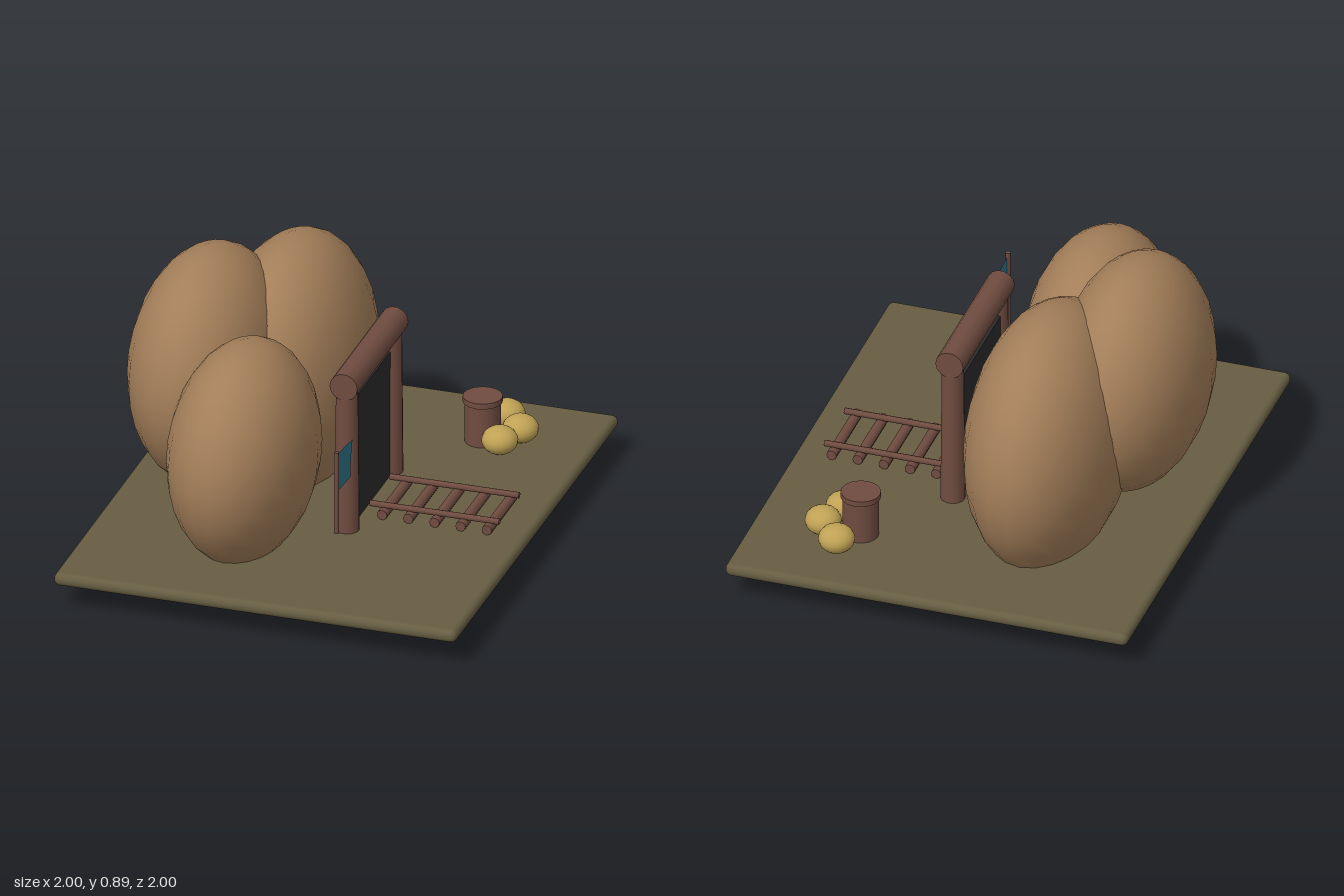
import * as THREE from 'three';
import { RoundedBoxGeometry } from 'three/addons/geometries/RoundedBoxGeometry.js';

const mat = (name, color, extra = {}) => {
  const m = new THREE.MeshStandardMaterial({ color, ...extra });
  m.name = name;
  return m;
};

export function createModel() {
  const earth = mat('earth', 0x665d42);
  const rock = mat('rock', 0xa37e59);
  const wood = mat('wood', 0x704c40);
  const dark = mat('dark opening', 0x2b2b2b);
  const cloth = mat('blue cloth', 0x2f7389, { side: THREE.DoubleSide });
  const straw = mat('straw', 0xc0a255);

  const model = new THREE.Group();
  model.name = 'caveCamp';
  // The whole camp is turned an eighth of a circle on the spot
  const camp = new THREE.Group();
  camp.name = 'camp';
  camp.rotation.y = Math.PI / 4;
  model.add(camp);

  const add = (name, geometry, material, x, y, z) => {
    const mesh = new THREE.Mesh(geometry, material);
    mesh.name = name;
    mesh.position.set(x, y, z);
    camp.add(mesh);
    return mesh;
  };
  const log = (name, rTop, rBottom, length, x, y, z, axis = 'y', sides = 14) => {
    const mesh = add(name, new THREE.CylinderGeometry(rTop, rBottom, length, sides), wood, x, y, z);
    if (axis === 'x') mesh.rotation.z = Math.PI / 2;
    if (axis === 'z') mesh.rotation.x = Math.PI / 2;
    return mesh;
  };

  // Ground slab with rounded edges
  add('ground', new RoundedBoxGeometry(1.574, 0.042, 1.277, 3, 0.02), earth, 0, 0.1, 0);

  // Boulders, flattened front to back: x, y, z, radius, depth
  [
    [-0.357, 0.408, -0.173, 0.348, 0.22],
    [-0.04, 0.525, -0.39, 0.37, 0.23],
    [0.223, 0.42, -0.209, 0.42, 0.24],
  ].forEach(([x, y, z, r, depth], i) => {
    add(`boulder${i + 1}`, new THREE.SphereGeometry(1, 22, 16), rock, x, y, z).scale.set(r, r, depth);
  });

  // Doorway of logs with a dark opening
  for (const s of [-1, 1]) {
    log(s < 0 ? 'rightPost' : 'leftPost', 0.034, 0.038, 0.49, s * 0.21 - 0.004, 0.355, 0.106);
  }
  log('lintel', 0.044, 0.044, 0.49, -0.004, 0.61, 0.106, 'x');
  add('doorOpening', new THREE.BoxGeometry(0.36, 0.42, 0.03), dark, -0.004, 0.325, 0.1);

  // Log path: cross logs under two thin rails
  for (let i = 0; i < 5; i++) {
    log(`crossLog${i + 1}`, 0.016, 0.016, 0.25, 0, 0.137, 0.187 + i * 0.083, 'x', 10);
  }
  for (const s of [-1, 1]) {
    log(s < 0 ? 'rightRail' : 'leftRail', 0.01, 0.01, 0.41, s * 0.095, 0.157, 0.345, 'z', 8);
  }

  // Flag on a thin pole
  log('flagPole', 0.008, 0.008, 0.27, -0.53, 0.4, 0.177, 'y', 8);
  const flag = new THREE.Shape();
  flag.moveTo(0, 0.123);
  flag.quadraticCurveTo(0.07, 0.12, 0.148, 0.107);
  flag.quadraticCurveTo(0.125, 0.05, 0.13, -0.01);
  flag.quadraticCurveTo(0.06, -0.005, 0, 0);
  add('flag', new THREE.ShapeGeometry(flag, 4), cloth, -0.525, 0.4, 0.177);

  // Barrel with a lid
  log('barrel', 0.055, 0.055, 0.14, 0.488, 0.19, 0.304, 'y', 16);
  log('barrelLid', 0.061, 0.061, 0.018, 0.488, 0.262, 0.304, 'y', 16);

  // Round sacks beside the barrel
  [[0.422, 0.38], [0.517, 0.414], [0.602, 0.343]].forEach(([x, z], i) => {
    add(`sack${i + 1}`, new THREE.SphereGeometry(0.056, 16, 12), straw, x, 0.165, z).scale.y = 0.78;
  });

  return model;
}
